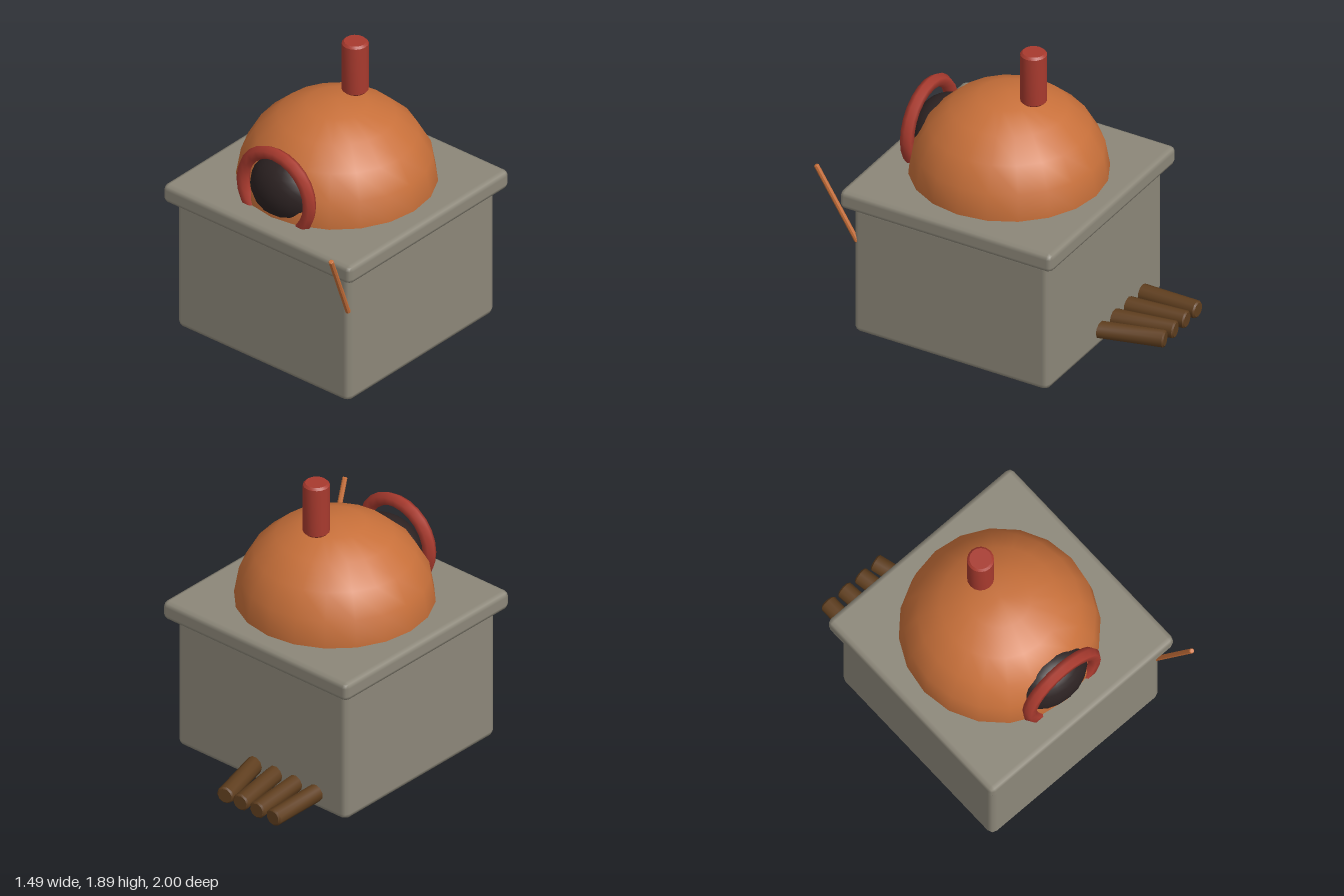
import * as THREE from 'three';
import { toCreasedNormals } from 'three/addons/utils/BufferGeometryUtils.js';
import { RoundedBoxGeometry } from 'three/addons/geometries/RoundedBoxGeometry.js';

const material = (name, color) => {
  const m = new THREE.MeshStandardMaterial({ color });
  m.name = name;
  return m;
};

// Upright cylinder with a small chamfer on both rims, centred on its middle
function chamferedCylinder(radius, length, bevel, sides) {
  const h = length / 2;
  const profile = [
    [0, -h], [radius - bevel, -h], [radius, -h + bevel],
    [radius, h - bevel], [radius - bevel, h], [0, h],
  ].map(([x, y]) => new THREE.Vector2(x, y));
  return toCreasedNormals(new THREE.LatheGeometry(profile, sides), 0.7);
}

export function createModel() {
  const model = new THREE.Group();
  model.name = 'outdoorOven';

  const stone = material('stone grey', 0x8c8779);
  const clay = material('terracotta', 0xc8703a);
  const brick = material('brick red', 0xa83a2e);
  const soot = material('soot black', 0x2c2222);
  const wood = material('log brown', 0x5f3e1e);

  const add = (name, geometry, mat, x, y, z) => {
    const mesh = new THREE.Mesh(geometry, mat);
    mesh.name = name;
    mesh.position.set(x, y, z);
    model.add(mesh);
    return mesh;
  };

  // Cylinder laid between two points
  const addRod = (name, from, to, radius, bevel, sides, mat) => {
    const a = new THREE.Vector3(...from);
    const b = new THREE.Vector3(...to);
    const mid = a.clone().add(b).multiplyScalar(0.5);
    const geometry = chamferedCylinder(radius, a.distanceTo(b), bevel, sides);
    const rod = add(name, geometry, mat, mid.x, mid.y, mid.z);
    rod.quaternion.setFromUnitVectors(new THREE.Vector3(0, 1, 0), b.sub(a).normalize());
  };

  // Plinth and overhanging worktop
  add('base', new RoundedBoxGeometry(1.36, 0.89, 1.36, 1, 0.04), stone, -0.005, 0.445, 0.08);
  add('worktop', new RoundedBoxGeometry(1.485, 0.125, 1.485, 1, 0.035), stone, -0.003, 0.948, 0.08);

  // Slightly flattened dome
  const dome = new THREE.SphereGeometry(0.61, 20, 5, 0, Math.PI * 2, 0, Math.PI / 2);
  add('dome', dome, clay, -0.003, 1.01, 0.07).scale.y = 0.9;

  // Oven mouth: dark bulge framed by an arch whose lower part sinks into the worktop
  add('mouth', new THREE.SphereGeometry(1, 20, 14), soot, -0.005, 1.15, 0.52).scale.set(0.255, 0.217, 0.19);
  add('arch', new THREE.TorusGeometry(0.262, 0.043, 6, 24), brick, -0.005, 1.165, 0.63);

  // Chimney
  add('chimney', chamferedCylinder(0.082, 0.35, 0.014, 16), brick, -0.005, 1.715, -0.1);

  // Fanned firewood sticking out at the back: [x at outer end, x at inner end]
  [[-0.445, -0.445], [-0.315, -0.275], [-0.183, -0.11], [-0.06, 0.06]].forEach(([outer, inner], i) => {
    addRod(`log${i + 1}`, [inner, 0.11, -0.55], [outer, 0.11, -0.99], 0.056, 0.01, 10, wood);
  });

  // Peel handle leaning out at the front corner
  addRod('peelHandle', [0.657, 0.635, 0.74], [0.73, 1.138, 0.985], 0.016, 0.004, 8, clay);

  return model;
}
